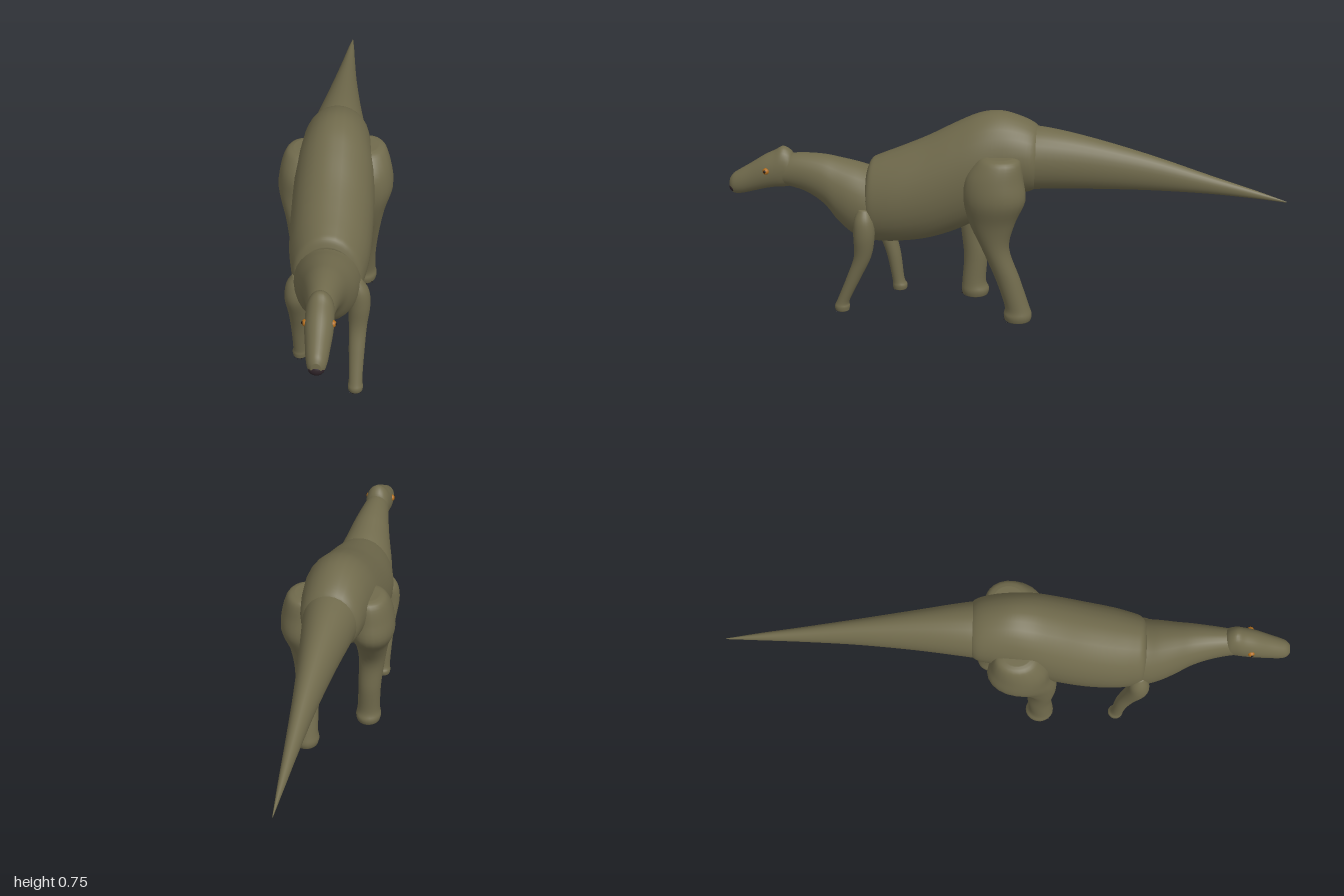
import * as THREE from 'three';

const mat = (name, color) => {
  const m = new THREE.MeshStandardMaterial({ color });
  m.name = name;
  return m;
};

// Catmull-Rom blend of whole rows of numbers
function smoothRows(rows, steps) {
  const out = [];
  const at = i => rows[Math.max(0, Math.min(rows.length - 1, i))];
  for (let i = 0; i < rows.length - 1; i++) {
    for (let s = 0; s < steps; s++) {
      const t = s / steps;
      out.push(rows[i].map((b, k) => {
        const a = at(i - 1)[k], c = at(i + 1)[k], d = at(i + 2)[k];
        return b + 0.5 * t * (c - a + t * (2 * a - 5 * b + 4 * c - d + t * (3 * (b - c) + d - a)));
      }));
    }
  }
  out.push(rows[rows.length - 1]);
  return out;
}

// Closed skin over elliptical sections; place(section, cos, sin) gives a point
function loft(sections, place, sides = 28) {
  const pos = [], index = [], n = sections.length;
  for (const s of sections) {
    for (let j = 0; j < sides; j++) {
      const a = (j / sides) * Math.PI * 2;
      pos.push(...place(s, Math.cos(a), Math.sin(a)));
    }
  }
  for (let i = 0; i < n - 1; i++) {
    for (let j = 0; j < sides; j++) {
      const a = i * sides + j, b = i * sides + (j + 1) % sides;
      index.push(a, b, a + sides, b, b + sides, a + sides);
    }
  }
  const first = n * sides, last = first + 1, top = (n - 1) * sides;
  pos.push(...place(sections[0], 0, 0), ...place(sections[n - 1], 0, 0));
  for (let j = 0; j < sides; j++) {
    const k = (j + 1) % sides;
    index.push(first, k, j, last, top + j, top + k);
  }
  const g = new THREE.BufferGeometry();
  g.setAttribute('position', new THREE.Float32BufferAttribute(pos, 3));
  g.setIndex(index);
  g.computeVertexNormals();
  return g;
}

// Trunk rows: z, bottom, top, half width
const trunk = rows => loft(smoothRows(rows, 5), ([z, lo, hi, w], c, s) =>
  [w * c, (lo + hi) / 2 + s * (hi - lo) / 2, z]);

// Limb rows: y, centre x, centre z, x radius, z radius
const limb = (rows, side) => loft(smoothRows(rows, 5), ([y, x, z, rx, rz], c, s) =>
  [side * x + rx * s, y, z + rz * c], 22);

export function createModel() {
  const model = new THREE.Group();
  model.name = 'dinosaur';
  const skin = mat('olive skin', 0x706a4c);
  const amber = mat('amber eye', 0xb06c1c);
  const dark = mat('dark snout', 0x2e2328);
  const horn = mat('dark claw', 0x1f1a18);

  const add = (name, geometry, material, parent = model) => {
    const m = new THREE.Mesh(geometry, material);
    m.name = name;
    parent.add(m);
    return m;
  };

  // Trunk, neck, head and tail
  add('body', trunk([
    [-0.13, 0.52, 0.66, 0.06], [-0.10, 0.475, 0.705, 0.10], [-0.04, 0.45, 0.735, 0.115],
    [0.03, 0.40, 0.75, 0.125], [0.10, 0.35, 0.738, 0.135], [0.18, 0.305, 0.70, 0.14],
    [0.28, 0.268, 0.645, 0.141], [0.38, 0.25, 0.598, 0.136], [0.45, 0.245, 0.568, 0.124],
    [0.48, 0.25, 0.552, 0.114], [0.493, 0.265, 0.525, 0.10],
  ]), skin);
  add('neck', trunk([
    [0.40, 0.26, 0.52, 0.10], [0.48, 0.248, 0.52, 0.112], [0.54, 0.262, 0.535, 0.104],
    [0.60, 0.31, 0.548, 0.087], [0.65, 0.372, 0.557, 0.072], [0.71, 0.413, 0.56, 0.058],
    [0.77, 0.432, 0.556, 0.047], [0.82, 0.44, 0.54, 0.04],
  ]), skin);
  add('head', trunk([
    [0.755, 0.46, 0.535, 0.02], [0.772, 0.437, 0.566, 0.04], [0.80, 0.43, 0.582, 0.045],
    [0.83, 0.428, 0.566, 0.047], [0.87, 0.42, 0.545, 0.046], [0.92, 0.406, 0.512, 0.04],
    [0.96, 0.396, 0.487, 0.035], [0.985, 0.396, 0.47, 0.028], [0.998, 0.41, 0.452, 0.016],
  ]), skin);
  add('tail', trunk([
    [-0.97, 0.464, 0.468, 0.001], [-0.85, 0.475, 0.507, 0.012], [-0.70, 0.484, 0.552, 0.024],
    [-0.50, 0.487, 0.614, 0.042], [-0.30, 0.483, 0.666, 0.066], [-0.15, 0.477, 0.695, 0.088],
    [-0.05, 0.47, 0.70, 0.10], [0.05, 0.47, 0.68, 0.10],
  ]), skin);

  // Dark tip of the snout
  const snout = add('snoutTip', new THREE.SphereGeometry(1, 20, 14), dark);
  snout.scale.set(0.026, 0.021, 0.018);
  snout.position.set(0, 0.421, 0.984);

  // Eyes with pupils
  for (const side of [1, -1]) {
    const eye = add('eye', new THREE.SphereGeometry(0.012, 16, 12), amber);
    eye.position.set(side * 0.043, 0.50, 0.855);
    const pupil = add('pupil', new THREE.SphereGeometry(0.006, 12, 8), horn);
    pupil.position.set(side * 0.0505, 0.501, 0.857);
  }

  // Small claws along the front rim of a foot
  const claws = (parent, x, z, rx, rz, size) => {
    for (const a of [-0.8, -0.27, 0.27, 0.8]) {
      const claw = add('claw', new THREE.ConeGeometry(size * 0.4, size * 1.6, 8), horn, parent);
      claw.rotation.set(1.75, a, 0, 'YXZ');
      claw.position.set(x + Math.sin(a) * rx, size * 0.5, z + Math.cos(a) * rz);
    }
  };

  // Legs in mid-stride: z offsets for foot, shin, knee, thigh and hip
  const hind = { 1: [-0.05, -0.015, 0.028, 0.03, 0.015], [-1]: [0.13, 0.128, 0.135, 0.055, 0.045] };
  const fore = { 1: [0.583, 0.535, 0.503, 0.495], [-1]: [0.41, 0.43, 0.452, 0.475] };
  for (const side of [1, -1]) {
    const tag = side > 0 ? 'left' : 'right';

    const [foot, shin, knee, thigh, hip] = hind[side];
    const rear = new THREE.Group();
    rear.name = tag + 'HindLeg';
    model.add(rear);
    add('hindLimb', limb([
      [0.004, 0.097, foot, 0.042, 0.046], [0.025, 0.097, foot, 0.046, 0.05],
      [0.06, 0.097, foot + 0.004, 0.041, 0.043], [0.16, 0.10, shin, 0.041, 0.043],
      [0.28, 0.106, knee, 0.048, 0.048], [0.38, 0.112, (knee + thigh) / 2 + 0.01, 0.06, 0.08],
      [0.47, 0.12, thigh, 0.079, 0.108], [0.55, 0.117, thigh, 0.075, 0.10],
      [0.61, 0.11, hip, 0.062, 0.075], [0.625, 0.10, hip, 0.045, 0.05],
    ], side), skin, rear);
    claws(rear, side * 0.097, foot, 0.042, 0.046, 0.012);

    const [toe, wrist, elbow, shoulder] = fore[side];
    const front = new THREE.Group();
    front.name = tag + 'ForeLeg';
    model.add(front);
    add('foreLimb', limb([
      [0.004, 0.101, toe, 0.024, 0.025], [0.02, 0.101, toe, 0.026, 0.027],
      [0.045, 0.101, toe - side * 0.006, 0.023, 0.022], [0.14, 0.102, wrist, 0.027, 0.026],
      [0.22, 0.104, elbow, 0.031, 0.031], [0.30, 0.108, shoulder, 0.037, 0.038],
      [0.36, 0.107, shoulder, 0.032, 0.034], [0.40, 0.10, shoulder, 0.016, 0.018],
    ], side), skin, front);
    claws(front, side * 0.101, toe, 0.023, 0.024, 0.008);
  }
  return model;
}
